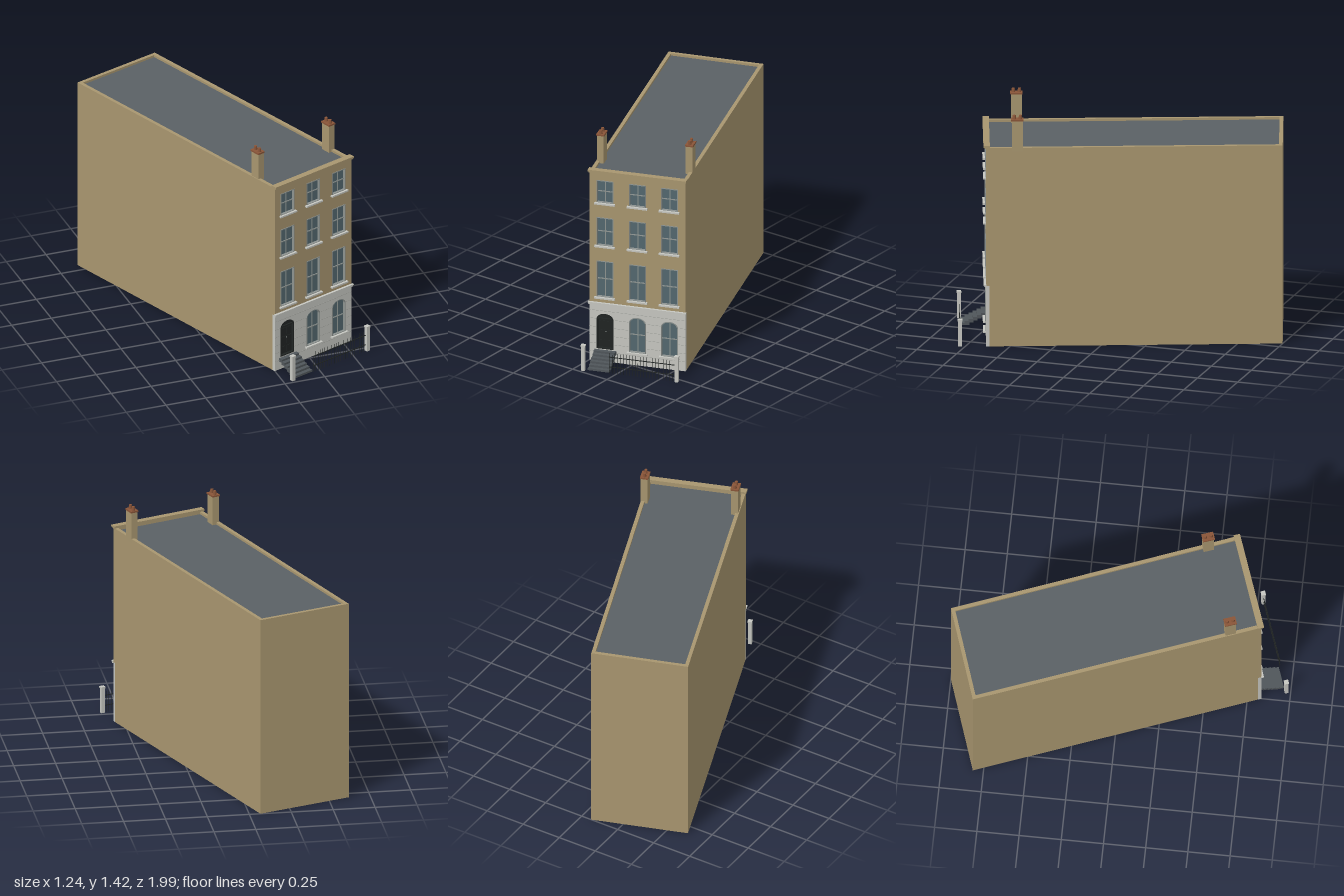
import * as THREE from 'three';

const mat = (color) => new THREE.MeshStandardMaterial({ color, flatShading: true });
const brick = mat(0xa8966f), stone = mat(0xc6c7c1), roofing = mat(0x5a6165), glass = mat(0x53686f),
  frameGrey = mat(0x8d9390), black = mat(0x202423), clay = mat(0x8a5538), stepGrey = mat(0x50565a), joint = mat(0xa2a39d);

const ANGLE = 0.342;       // the street front is turned about y
const WIDTH = 0.592;       // length of the front
const THICK = 0.02;        // wall thickness
const COLS = [0.097, 0.296, 0.493];
const OPEN_W = 0.104;
const ROWS = [[0.415, 0.649], [0.748, 0.93], [1.025, 1.17]];

function add(parent, name, geometry, material, x = 0, y = 0, z = 0) {
  const mesh = new THREE.Mesh(geometry, material);
  mesh.name = name;
  mesh.position.set(x, y, z);
  parent.add(mesh);
  return mesh;
}

// box given by its centre in x and z and its bottom in y
function box(parent, name, material, w, h, d, x, y, z) {
  return add(parent, name, new THREE.BoxGeometry(w, h, d), material, x, y + h / 2, z);
}

const extrude = (shape, depth) =>
  new THREE.ExtrudeGeometry(shape, { depth, bevelEnabled: false, curveSegments: 12 });

// rectangular outline, with an elliptical head when rise > 0
function outline(Kind, cx, w, y0, y1, rise = 0) {
  const p = new Kind();
  p.moveTo(cx - w / 2, y0);
  p.lineTo(cx + w / 2, y0);
  p.lineTo(cx + w / 2, y1 - rise);
  if (rise) p.absellipse(cx, y1 - rise, w / 2, rise, 0, Math.PI, false, 0);
  else p.lineTo(cx - w / 2, y1);
  if (!rise) p.lineTo(cx + w / 2, y1);
  p.closePath();
  return p;
}

function rectOrArch(Kind, cx, w, y0, y1, rise = 0) {
  if (rise) return outline(Kind, cx, w, y0, y1, rise);
  const a = cx - w / 2, b = cx + w / 2;
  return new Kind([[a, y0], [b, y0], [b, y1], [a, y1]].map(([x, y]) => new THREE.Vector2(x, y)));
}

// thin border lining an opening
function surround(parent, name, material, cx, w, y0, y1, rise, border, depth, z) {
  const s = rectOrArch(THREE.Shape, cx, w, y0, y1, rise);
  s.holes.push(rectOrArch(THREE.Path, cx, w - 2 * border, y0 + border, y1 - border, rise ? rise - border / 2 : 0));
  add(parent, name, extrude(s, depth), material, 0, 0, z);
}

function makeWindow(cx, y0, y1, rise = 0) {
  const g = new THREE.Group();
  g.name = 'window';
  add(g, 'glass', extrude(rectOrArch(THREE.Shape, cx, OPEN_W, y0, y1, rise), 0.003), glass, 0, 0, -0.017);
  surround(g, 'windowSurround', frameGrey, cx, OPEN_W, y0, y1, rise, 0.005, 0.017, -0.014);
  box(g, 'mullion', frameGrey, 0.005, y1 - y0 - 0.006, 0.005, cx, y0 + 0.003, -0.012);
  box(g, 'meetingRail', frameGrey, OPEN_W - 0.006, 0.005, 0.006, cx, (y0 + y1) / 2 - 0.0025, -0.0115);
  box(g, 'sill', stone, 0.125, 0.01, 0.026, cx, y0 - 0.008, 0.004);
  return g;
}

function makeDoor(cx, y0, y1, rise) {
  const g = new THREE.Group();
  g.name = 'frontDoor';
  add(g, 'doorLeaf', extrude(rectOrArch(THREE.Shape, cx, OPEN_W, y0, y1, rise), 0.004), black, 0, 0, -0.018);
  surround(g, 'doorFrame', black, cx, OPEN_W, y0, y1, rise, 0.007, 0.014, -0.014);
  box(g, 'transom', black, OPEN_W - 0.01, 0.007, 0.01, cx, 0.268, -0.01);
  for (const side of [-1, 1])
    for (const [y, h] of [[0.095, 0.04], [0.15, 0.05], [0.212, 0.045]])
      box(g, 'doorPanel', black, 0.032, h, 0.003, cx + side * 0.021, y, -0.0125);
  add(g, 'doorKnob', new THREE.SphereGeometry(0.003, 8, 6), frameGrey, cx + 0.003, 0.19, -0.01);
  return g;
}

// wall slab pierced by a list of openings
function facade(name, y0, y1, openings, material) {
  const s = rectOrArch(THREE.Shape, WIDTH / 2, WIDTH, y0, y1);
  for (const o of openings) s.holes.push(rectOrArch(THREE.Path, ...o));
  const m = new THREE.Mesh(extrude(s, THICK), material);
  m.name = name;
  m.position.z = -THICK;
  return m;
}

function makeChimney(x) {
  const g = new THREE.Group();
  g.name = 'chimney';
  g.position.set(x, 0, -0.184);
  box(g, 'chimneyStack', brick, 0.042, 0.186, 0.064, 0, 1.2, 0);
  box(g, 'chimneyCap', clay, 0.049, 0.01, 0.072, 0, 1.385, 0);
  for (const z of [-0.018, 0.018])
    add(g, 'chimneyPot', new THREE.CylinderGeometry(0.009, 0.011, 0.024, 10), clay, 0, 1.406, z);
  return g;
}

// plan polygon of [x, z] points raised to a prism
function prism(points, height) {
  const s = new THREE.Shape(points.map(([x, z]) => new THREE.Vector2(x, -z)));
  return extrude(s, height).rotateX(-Math.PI / 2);
}

export function createModel() {
  const model = new THREE.Group();
  model.name = 'townhouse';
  const origin = [-0.001, 0.832];
  const c = Math.cos(ANGLE), s = Math.sin(ANGLE);
  const plan = (u, n) => [origin[0] + u * c + n * s, origin[1] - u * s + n * c];

  // side and back walls, open below, with the flat roof sunk inside the parapet
  const A = plan(0, -THICK), B = plan(WIDTH, -THICK), C = [-0.066, -1], D = [-0.622, -0.813];
  const t = 0.022;
  const a = plan(t, -THICK), b = plan(WIDTH - t, -THICK);
  const inC = [C[0] - t * c + t * s, C[1] + t * s + t * c], inD = [D[0] + t * c + t * s, D[1] - t * s + t * c];
  add(model, 'sideAndBackWalls', prism([A, D, C, B, b, inC, inD, a], 1.222), brick);
  add(model, 'roof', prism([a, inD, inC, b], 0.01), roofing, 0, 1.198, 0);

  // everything aligned with the street front
  const front = new THREE.Group();
  front.name = 'streetFront';
  front.position.set(origin[0], 0, origin[1]);
  front.rotation.y = ANGLE;
  model.add(front);

  const arch = [0.08, 0.308, 0.038];
  const upper = ROWS.flatMap(([y0, y1]) => COLS.map((x) => [x, OPEN_W, y0, y1]));
  const lower = COLS.map((x) => [x, OPEN_W, ...arch]);
  front.add(facade('brickFront', 0.372, 1.228, upper, brick));
  front.add(facade('stoneGroundFloor', 0, 0.372, lower, stone));
  for (const [x, , y0, y1] of upper) front.add(makeWindow(x, y0, y1));
  front.add(makeDoor(COLS[0], ...arch));
  for (const x of COLS.slice(1)) front.add(makeWindow(x, ...arch));

  // masonry joints between the openings
  const edges = [0, ...COLS.flatMap((x) => [x - OPEN_W / 2 - 0.004, x + OPEN_W / 2 + 0.004]), WIDTH];
  for (let i = 0; i < 6; i++) {
    const y = 0.06 + i * 0.053;
    const runs = y > 0.07 && y < 0.31 ? edges : [0, WIDTH];
    for (let k = 0; k < runs.length; k += 2)
      box(front, 'masonryJoint', joint, runs[k + 1] - runs[k], 0.002, 0.001, (runs[k] + runs[k + 1]) / 2, y, 0.0003);
  }

  // string course and cornice
  box(front, 'stringCourse', stone, WIDTH + 0.008, 0.009, 0.012, WIDTH / 2, 0.366, 0.005);
  box(front, 'stringCourseTop', stone, WIDTH + 0.012, 0.006, 0.016, WIDTH / 2, 0.375, 0.007);
  box(front, 'corniceBed', brick, WIDTH + 0.004, 0.008, 0.03, WIDTH / 2, 1.217, -0.005);
  box(front, 'cornice', brick, WIDTH + 0.012, 0.011, 0.038, WIDTH / 2, 1.225, -0.003);

  for (const x of [0.0226, 0.568]) front.add(makeChimney(x));

  // entrance steps
  const steps = 6, rise = 0.0125, tread = 0.024;
  for (let i = 0; i < steps; i++)
    box(front, 'step', stepGrey, 0.132, i ? rise * 1.8 : rise, tread + 0.004, 0.1,
      i ? (i - 0.8) * rise : 0, (steps - i - 0.5) * tread);

  // gate posts and railings
  for (const x of [0.009, 0.583]) {
    box(front, 'gatePost', stone, 0.022, 0.155, 0.022, x, 0, 0.154);
    box(front, 'gatePostCap', stone, 0.027, 0.01, 0.027, x, 0.155, 0.154);
  }
  const x0 = 0.168, x1 = 0.575, bars = 23;
  for (const y of [0.04, 0.103])
    box(front, 'rail', black, x1 - x0, 0.004, 0.004, (x0 + x1) / 2, y, 0.154);
  for (let i = 0; i < bars; i++)
    add(front, 'railingBar', new THREE.CylinderGeometry(0.0012, 0.0015, 0.132, 6), black,
      x0 + (i / bars) * (x1 - x0), 0.066, 0.154);

  return model;
}
